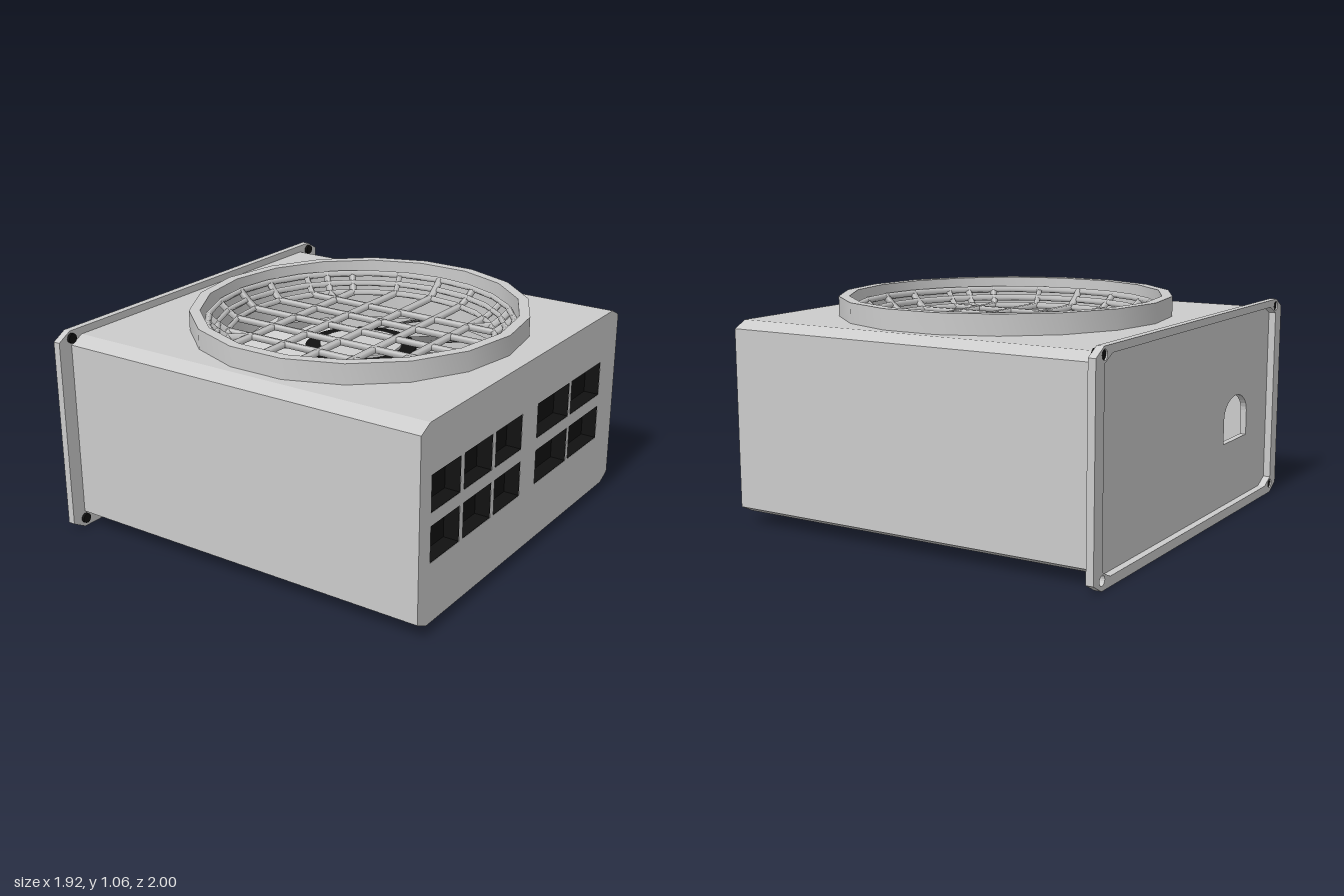
import * as THREE from 'three';
import { toCreasedNormals } from 'three/addons/utils/BufferGeometryUtils.js';

const grey = new THREE.MeshStandardMaterial({ color: 0xcccccc });
const thin = new THREE.MeshStandardMaterial({ color: 0xcccccc, side: THREE.DoubleSide });
const black = new THREE.MeshStandardMaterial({ color: 0x111111, side: THREE.DoubleSide });
const white = new THREE.MeshStandardMaterial({ color: 0xffffff });
const CX = 0.055; // fan centre

export function createModel() {
  const root = new THREE.Group();
  const add = (name, geo, mat = grey, parent = root) => {
    const m = new THREE.Mesh(geo, mat);
    m.name = name;
    parent.add(m);
    return m;
  };
  const group = (name) => {
    const g = new THREE.Group();
    g.name = name;
    root.add(g);
    return g;
  };
  const outline = (pts, Type = THREE.Shape) => new Type(pts.map(([a, b]) => new THREE.Vector2(a, b)));
  // rectangle with cut corners, given as (-z, y)
  const octagon = (w, y0, y1, cz, cy) => [[-w + cz, y0], [w - cz, y0], [w, y0 + cy], [w, y1 - cy],
    [w - cz, y1], [-w + cz, y1], [-w, y1 - cy], [-w, y0 + cy]];
  // extrude a (-z, y) shape along x
  const alongX = (shape, x0, depth) => new THREE.ExtrudeGeometry(shape, { depth, bevelEnabled: false, curveSegments: 8 })
    .rotateY(Math.PI / 2).translate(x0, 0, 0);
  const ellipse = (rx, rz, n, Type) => outline(Array.from({ length: n }, (_, i) => {
    const a = i / n * Math.PI * 2;
    return [CX + rx * Math.cos(a), rz * Math.sin(a)];
  }), Type);

  const section = octagon(0.925, 0.045, 0.965, 0.07, 0.035);
  const x0 = -0.93, x1 = 0.96;

  // Housing walls, one sheet per side of the section except the top
  const housing = group('housing');
  section.forEach(([a, b], i) => {
    if (i === 4) return;
    const [c, d] = section[(i + 1) % 8];
    const geo = new THREE.PlaneGeometry(x1 - x0, Math.hypot(c - a, d - b))
      .rotateX(Math.atan2(a - c, d - b))
      .translate((x0 + x1) / 2, (b + d) / 2, -(a + c) / 2);
    add('wall', geo, thin, housing);
  });

  // Top sheet with the round fan opening
  const top = outline([[x0, -0.855], [x1, -0.855], [x1, 0.855], [x0, 0.855]]);
  top.holes.push(ellipse(0.745, 0.77, 18, THREE.Path));
  add('topPanel', new THREE.ShapeGeometry(top).rotateX(-Math.PI / 2).translate(0, 0.965, 0), thin, housing);

  // Vented end panel with dark boxes behind the openings
  const ventPanel = outline(section);
  const vents = group('vents');
  for (const [za, zb] of [[0.6, 0.835], [0.33, 0.57], [0.06, 0.3], [-0.41, -0.09], [-0.75, -0.435]]) {
    for (const [ya, yb] of [[0.33, 0.5], [0.56, 0.73]]) {
      ventPanel.holes.push(outline([[-zb, ya], [-zb, yb], [-za, yb], [-za, ya]], THREE.Path));
      const w = zb - za, h = yb - ya, y = (ya + yb) / 2, z = (za + zb) / 2;
      const d = 0.08;
      add('ventBack', new THREE.BoxGeometry(0.01, h, w).translate(x1 - d, y, z), black, vents);
      for (const s of [-1, 1]) {
        add('ventLining', new THREE.BoxGeometry(d, 0.004, w).translate(x1 - d / 2 - 0.001, y + s * h / 2, z), black, vents);
        add('ventLining', new THREE.BoxGeometry(d, h, 0.004).translate(x1 - d / 2 - 0.001, y, z + s * w / 2), black, vents);
      }
    }
  }
  add('ventPanel', alongX(ventPanel, x1 - 0.03, 0.03), grey, housing);

  // Recessed mounting panel with an arched cable opening
  const mount = outline(section);
  const arch = new THREE.Path();
  arch.moveTo(-0.66, 0.35);
  arch.lineTo(-0.38, 0.35);
  arch.lineTo(-0.38, 0.47);
  arch.absellipse(-0.52, 0.47, 0.14, 0.1, 0, Math.PI, false);
  arch.closePath();
  mount.holes.push(arch);
  add('mountingPanel', alongX(mount, x0, 0.03), grey, housing);

  // Flange frame with corner holes and fixings; one corner is an open sleeve
  const flange = outline(octagon(1, 0, 1, 0.07, 0.04));
  flange.holes.push(outline(section, THREE.Path));
  const fixings = group('fixings');
  for (const z of [-0.925, 0.925]) for (const y of [0.045, 0.965]) {
    const hole = new THREE.Path();
    hole.absarc(-z, y, 0.023, 0, Math.PI * 2);
    flange.holes.push(hole);
    const open = z < 0 && y < 0.5;
    add(open ? 'sleeve' : 'screw', new THREE.CylinderGeometry(0.024, 0.024, 0.042, 16, 1, open)
      .rotateZ(Math.PI / 2).translate(-0.937, y, z), black, fixings);
  }
  add('flange', alongX(flange, -0.965, 0.035));

  // Fan collar: slightly oval, 18 sides
  const collar = ellipse(0.795, 0.822, 18);
  collar.holes.push(ellipse(0.745, 0.77, 18, THREE.Path));
  add('collar', toCreasedNormals(new THREE.ExtrudeGeometry(collar, { depth: 0.31, bevelEnabled: false })
    .rotateX(-Math.PI / 2).translate(0, 0.75, 0), 0.6));

  // Wire guard: three rings, a square grid and radial spokes
  const guard = group('guard');
  guard.position.x = CX;
  const rings = [[0.725, 1.0], [0.685, 0.96], [0.635, 0.925]];
  for (const [r, y] of rings) {
    add('guardRing', new THREE.TorusGeometry(r, 0.016, 4, 24).rotateX(Math.PI / 2).translate(0, y, 0), grey, guard);
  }
  const bar = (name, p, q) => {
    const dir = q.clone().sub(p);
    const m = add(name, new THREE.CylinderGeometry(0.018, 0.018, dir.length(), 4).rotateY(Math.PI / 4), grey, guard);
    m.position.copy(p).add(q).multiplyScalar(0.5);
    m.quaternion.setFromUnitVectors(new THREE.Vector3(0, 1, 0), dir.normalize());
  };
  const spoke = (angle) => {
    const at = ([r, y]) => new THREE.Vector3(r * Math.cos(angle), y, r * Math.sin(angle));
    bar('spoke', at(rings[0]), at(rings[1]));
    bar('spoke', at(rings[1]), at(rings[2]));
  };
  const [rg, yg] = rings[2];
  for (const k of [-2, -1, 0, 1, 2]) {
    const a = k * 0.193, b = k * 0.174;
    const ea = Math.sqrt(rg * rg - a * a), eb = Math.sqrt(rg * rg - b * b);
    bar('gridBar', new THREE.Vector3(a, yg, -ea), new THREE.Vector3(a, yg, ea));
    bar('gridBar', new THREE.Vector3(-eb, yg, b), new THREE.Vector3(eb, yg, b));
    for (const s of [-1, 1]) {
      spoke(Math.atan2(s * ea, a));
      spoke(Math.atan2(b, s * eb));
    }
  }
  for (const sx of [-1, 1]) for (const sz of [-1, 1]) {
    const a = Math.atan2(sz * 0.345, sx * 0.385);
    bar('cornerBar', new THREE.Vector3(sx * 0.385, yg, sz * 0.345),
      new THREE.Vector3(rg * Math.cos(a), yg, rg * Math.sin(a)));
    spoke(a);
  }

  // Fan: dark hub with a pale cap and swept, pitched blades
  const fan = group('fan');
  fan.position.x = CX;
  add('hub', new THREE.CylinderGeometry(0.265, 0.265, 0.3, 32).translate(0, 0.71, 0), black, fan);
  add('hubCap', new THREE.CylinderGeometry(0.195, 0.195, 0.02, 32).translate(0, 0.862, 0), white, fan);
  const blade = new THREE.PlaneGeometry(1, 1, 6, 6);
  const p = blade.attributes.position;
  for (let i = 0; i < p.count; i++) {
    const u = p.getX(i) + 0.5, v = p.getY(i);
    const r = 0.25 + 0.45 * u, a = v * 0.68 + 0.35 * u * u;
    p.setXYZ(i, r * Math.cos(a), 0.76 + v * (0.2 - 0.08 * u), r * Math.sin(a));
  }
  blade.computeVertexNormals();
  for (let i = 0; i < 9; i++) add('blade', blade, thin, fan).rotation.y = i / 9 * Math.PI * 2;

  return root;
}
